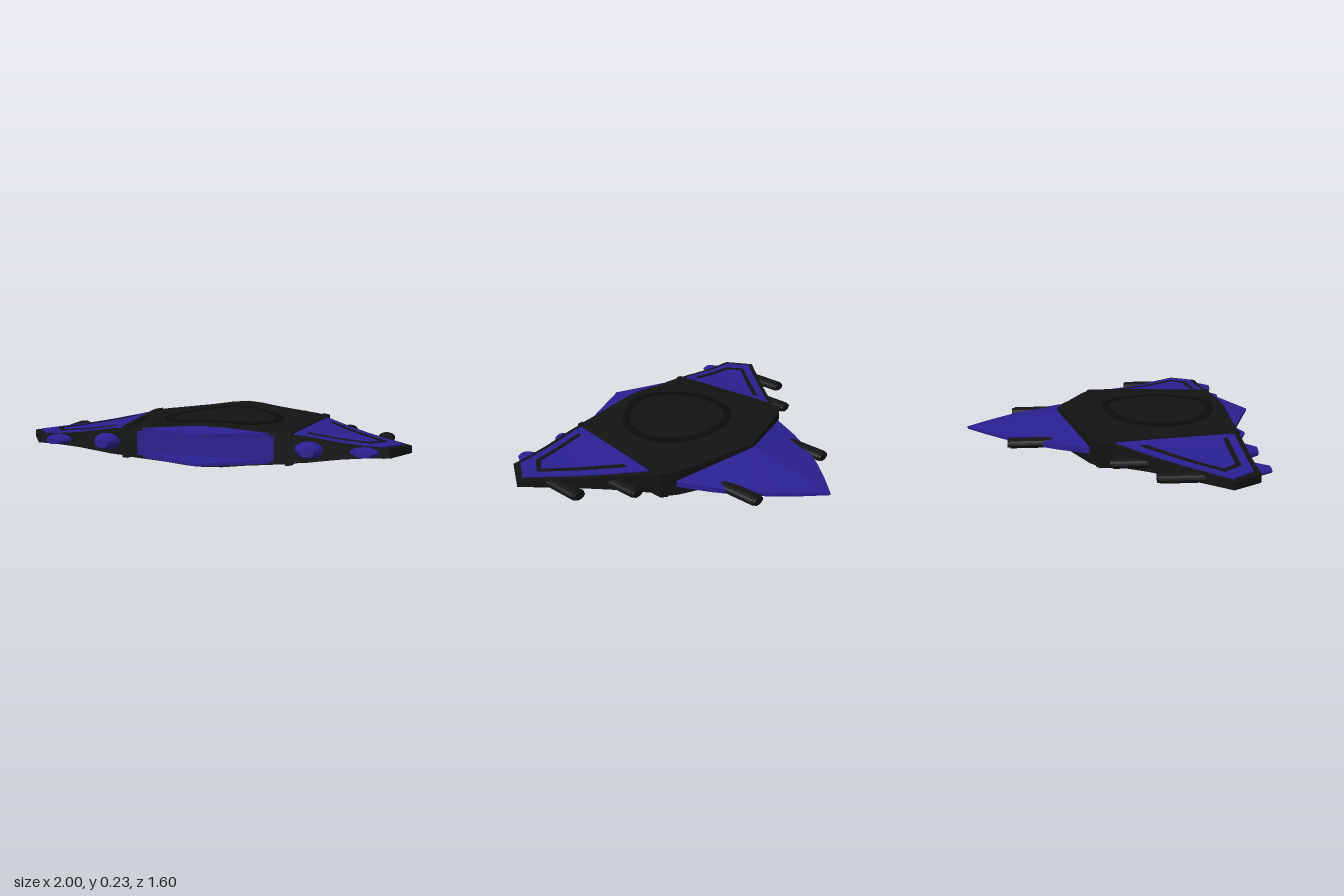
import * as THREE from 'three';
import { ConvexGeometry } from 'three/addons/geometries/ConvexGeometry.js';
import { mergeGeometries } from 'three/addons/utils/BufferGeometryUtils.js';

const MID = 0.113; // height of the symmetry plane
const black = new THREE.MeshStandardMaterial({ color: 0x131313, flatShading: true });
const darker = new THREE.MeshStandardMaterial({ color: 0x0b0b0b, flatShading: true });
const purple = new THREE.MeshStandardMaterial({ color: 0x2a1f90, flatShading: true });

// Half thickness of the craft across its span
const SPAN = [[0, 0.109], [0.09, 0.105], [0.2, 0.092], [0.35, 0.079], [0.5, 0.067],
  [0.58, 0.055], [0.68, 0.041], [0.78, 0.032], [1, 0.022]];
function thickness(x) {
  const a = Math.min(Math.abs(x), 1);
  const i = Math.max(1, SPAN.findIndex(s => s[0] >= a));
  const [x0, h0] = SPAN[i - 1], [x1, h1] = SPAN[i];
  return h0 + (h1 - h0) * (a - x0) / (x1 - x0);
}

// Front and back z of a convex plan outline at x
function depthAt(plan, x) {
  const zs = [];
  plan.forEach(([ax, az], i) => {
    const [bx, bz] = plan[(i + 1) % plan.length];
    if (x < Math.min(ax, bx) || x > Math.max(ax, bx)) return;
    if (ax === bx) zs.push(az, bz);
    else zs.push(az + (bz - az) * (x - ax) / (bx - ax));
  });
  return [Math.min(...zs), Math.max(...zs)];
}

// Slab over a convex plan outline, following the thickness curve above and below
function slab(plan, offset = 0) {
  const px = plan.map(p => p[0]), lo = Math.min(...px), hi = Math.max(...px);
  const knots = SPAN.flatMap(s => [s[0], -s[0]]).filter(x => x > lo && x < hi);
  const xs = [...new Set([...px, ...knots])].sort((a, b) => a - b);
  const pos = [];
  const quad = (a, b, c, d) => pos.push(...a, ...b, ...c, ...a, ...c, ...d);
  for (let i = 0; i < xs.length - 1; i++) {
    const corners = s => {
      const at = (x, end) => [x, s * (thickness(x) + offset), depthAt(plan, x)[end]];
      return [at(xs[i], 1), at(xs[i + 1], 1), at(xs[i + 1], 0), at(xs[i], 0)];
    };
    const [a, b, c, d] = corners(1), [e, f, g, h] = corners(-1);
    quad(a, b, c, d);
    quad(h, g, f, e);
    quad(e, f, b, a);
    quad(g, h, d, c);
    if (i === 0) quad(h, e, a, d);
    if (i === xs.length - 2) quad(f, g, c, b);
  }
  const geo = new THREE.BufferGeometry();
  geo.setAttribute('position', new THREE.Float32BufferAttribute(pos, 3));
  geo.computeVertexNormals();
  return geo;
}

export function createModel() {
  const craft = new THREE.Group();
  craft.name = 'spacecraft';
  craft.position.y = MID;
  const add = (name, geo, mat, parent = craft) => {
    const mesh = new THREE.Mesh(geo, mat);
    mesh.name = name;
    parent.add(mesh);
    return mesh;
  };
  const flip = (plan, s) => plan.map(([x, z]) => [s * x, z]);

  // Central hull
  const half = [[0.44, -0.13], [0.52, -0.08], [0.52, -0.03], [0.435, 0.66]];
  add('hull', slab([[0, -0.29], ...half, ...flip(half, -1).reverse()]), black);

  // Round hatch ring on top and underside
  const ring = [], N = 48;
  for (let i = 0; i < N; i++) {
    const p = (r, k) => [r * Math.cos(k * 2 * Math.PI / N), 0.28 + r * Math.sin(k * 2 * Math.PI / N)];
    ring.push(slab([p(0.275, i), p(0.32, i), p(0.32, i + 1), p(0.275, i + 1)], 0.004));
  }
  add('hatchRing', mergeGeometries(ring), darker);

  // Pointed nose with a central ridge and curved edges
  const nose = [];
  const outline = [[0.45, -0.13], [0.42, -0.2], [0.375, -0.3], [0.325, -0.39], [0.265, -0.49],
    [0.19, -0.59], [0.1, -0.695], [0, -0.8]];
  for (const s of [1, -1]) {
    for (const [x, z] of outline) {
      const edge = s * (0.007 + 0.02 * x);
      nose.push(new THREE.Vector3(x, edge, z), new THREE.Vector3(-x, edge, z));
    }
    nose.push(new THREE.Vector3(0, s * 0.09, -0.29), new THREE.Vector3(0, s * 0.092, -0.13));
  }
  add('nose', new ConvexGeometry(nose), purple);

  // Main engine: rear plate between two pointed lips
  const plate = add('enginePlate', new THREE.BoxGeometry(0.7, 0.12, 0.03), purple);
  plate.position.z = 0.66;
  for (const s of [1, -1]) {
    const pts = [[0.35, 0.076, 0.65], [0.35, 0.05, 0.65], [0.12, 0.094, 0.65], [0, 0.1, 0.65],
      [0, 0.05, 0.65], [0, 0.078, 0.8], [0, 0.066, 0.8]];
    const lip = pts.flatMap(([x, y, z]) => [new THREE.Vector3(x, s * y, z), new THREE.Vector3(-x, s * y, z)]);
    add(s > 0 ? 'upperEngineLip' : 'lowerEngineLip', new ConvexGeometry(lip), purple);
  }

  for (const s of [1, -1]) {
    const side = new THREE.Group();
    side.name = s > 0 ? 'leftWing' : 'rightWing';
    craft.add(side);
    const part = (name, plan, offset, mat) => add(name, slab(flip(plan, s), offset), mat, side);

    // Wing, its coloured panel and the raised joint to the hull
    part('wing', [[0.42, 0], [0.52, -0.04], [1, 0.51], [0.905, 0.66], [0.42, 0.66]], -0.004, black);
    part('wingPanel', [[0.52, 0], [0.96, 0.51], [0.88, 0.63], [0.44, 0.63]], 0.002, purple);
    part('wingJoint', [[0.485, -0.1], [0.522, -0.08], [0.522, -0.03], [0.437, 0.662], [0.405, 0.662]], 0.007, black);

    // Open stripe inlaid in the panel
    const outer = [[0.565, 0.12], [0.88, 0.49], [0.81, 0.585], [0.5, 0.585]];
    const inner = [[0.56, 0.155], [0.85, 0.49], [0.795, 0.56], [0.505, 0.56]];
    const stripe = [0, 1, 2].map(i =>
      slab(flip([outer[i], outer[i + 1], inner[i + 1], inner[i]], s), 0.005));
    add('wingStripe', mergeGeometries(stripe), black, side);

    // Forward guns: flattened barrels with a narrower muzzle
    for (const [x, tip, end] of [[0.295, -0.56, -0.2], [0.645, -0.04, 0.25], [0.86, 0.17, 0.5]]) {
      const gun = new THREE.Group();
      gun.name = 'gun';
      gun.position.x = s * x;
      gun.scale.y = 0.62;
      side.add(gun);
      const rod = (name, r, z0, z1) => {
        const geo = new THREE.CylinderGeometry(r, r, z1 - z0, 16).rotateX(Math.PI / 2);
        add(name, geo, black, gun).position.z = (z0 + z1) / 2;
      };
      rod('barrel', 0.043, tip + 0.015, end);
      rod('muzzle', 0.036, tip, tip + 0.03);
    }

    // Small rear thrusters
    for (const [x, ry] of [[0.52, 0.046], [0.785, 0.029]]) {
      const geo = new THREE.CylinderGeometry(0.035, 0.075, 0.085, 16).rotateX(Math.PI / 2);
      const thruster = add('thruster', geo, purple, side);
      thruster.position.set(s * x, 0, 0.693);
      thruster.scale.y = ry / 0.075;
    }
  }

  const model = new THREE.Group();
  model.name = 'model';
  model.add(craft);
  return model;
}
